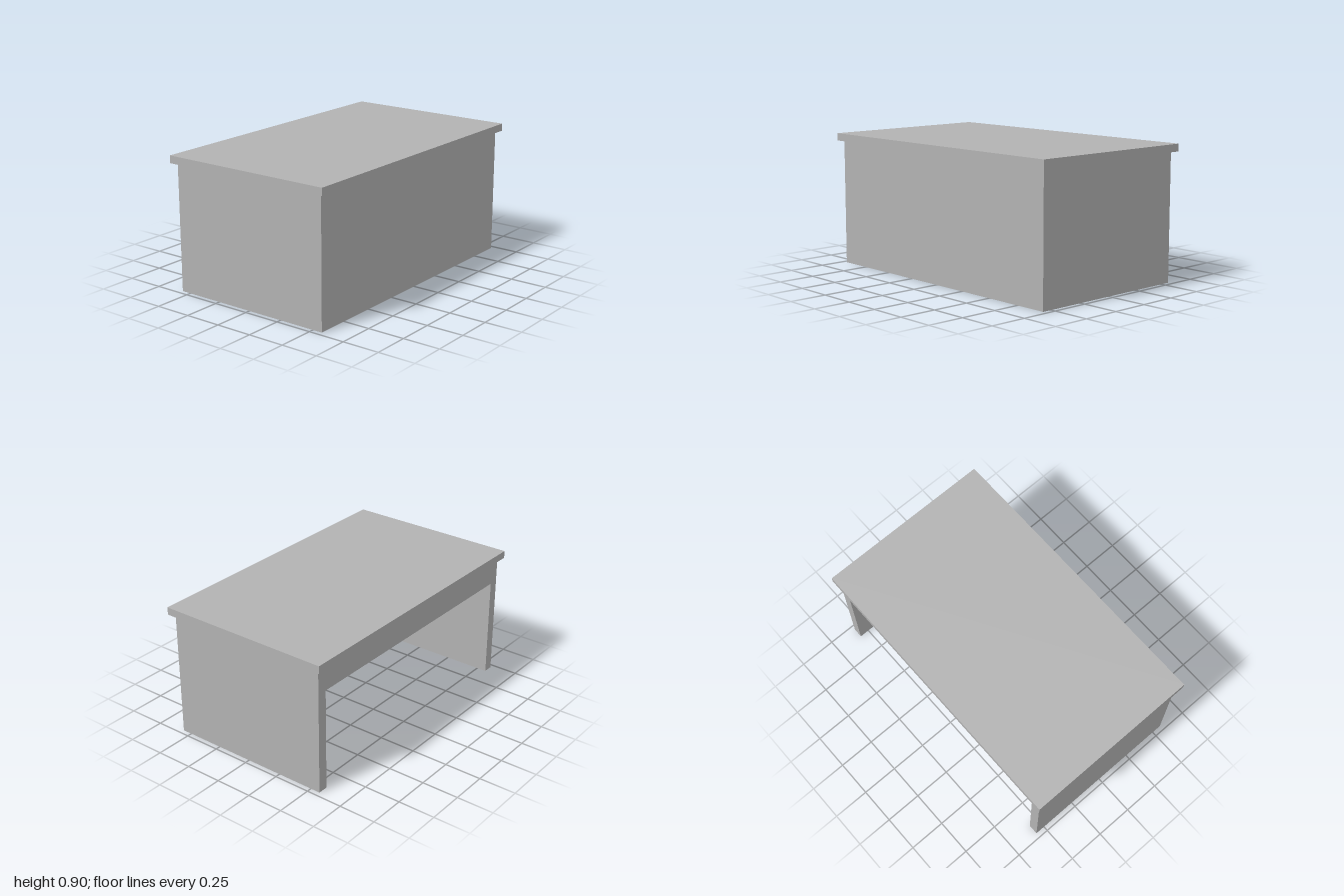
import * as THREE from 'three';

export function createModel() {
  const group = new THREE.Group();
  group.name = 'counterDesk';
  const grey = new THREE.MeshStandardMaterial({ color: 0xb2b2b2 });
  grey.name = 'grey';

  const halfW = 0.967, halfD = 0.567, bodyH = 0.85; // body extents
  const wall = 0.067, frontDepth = 0.267, openH = 0.683; // knee space

  const add = (name, geometry, x, y, z) => {
    const mesh = new THREE.Mesh(geometry, grey);
    mesh.name = name;
    mesh.position.set(x, y, z);
    group.add(mesh);
  };

  // Overhanging top slab
  add('worktop', new THREE.BoxGeometry(2, 0.05, 1.2), 0, bodyH + 0.025, 0);

  // Thick solid front panel
  add('frontPanel', new THREE.BoxGeometry(halfW * 2, bodyH, frontDepth), 0, bodyH / 2, halfD - frontDepth / 2);

  // Side walls and solid upper block around the knee space, open at the back
  const inner = halfW - wall;
  const arch = new THREE.Shape([
    [-halfW, 0], [-inner, 0], [-inner, openH], [inner, openH],
    [inner, 0], [halfW, 0], [halfW, bodyH], [-halfW, bodyH],
  ].map(([x, y]) => new THREE.Vector2(x, y)));
  const archDepth = halfD * 2 - frontDepth;
  add('sidesAndUpperBlock', new THREE.ExtrudeGeometry(arch, { depth: archDepth, bevelEnabled: false }), 0, 0, -halfD);

  return group;
}
